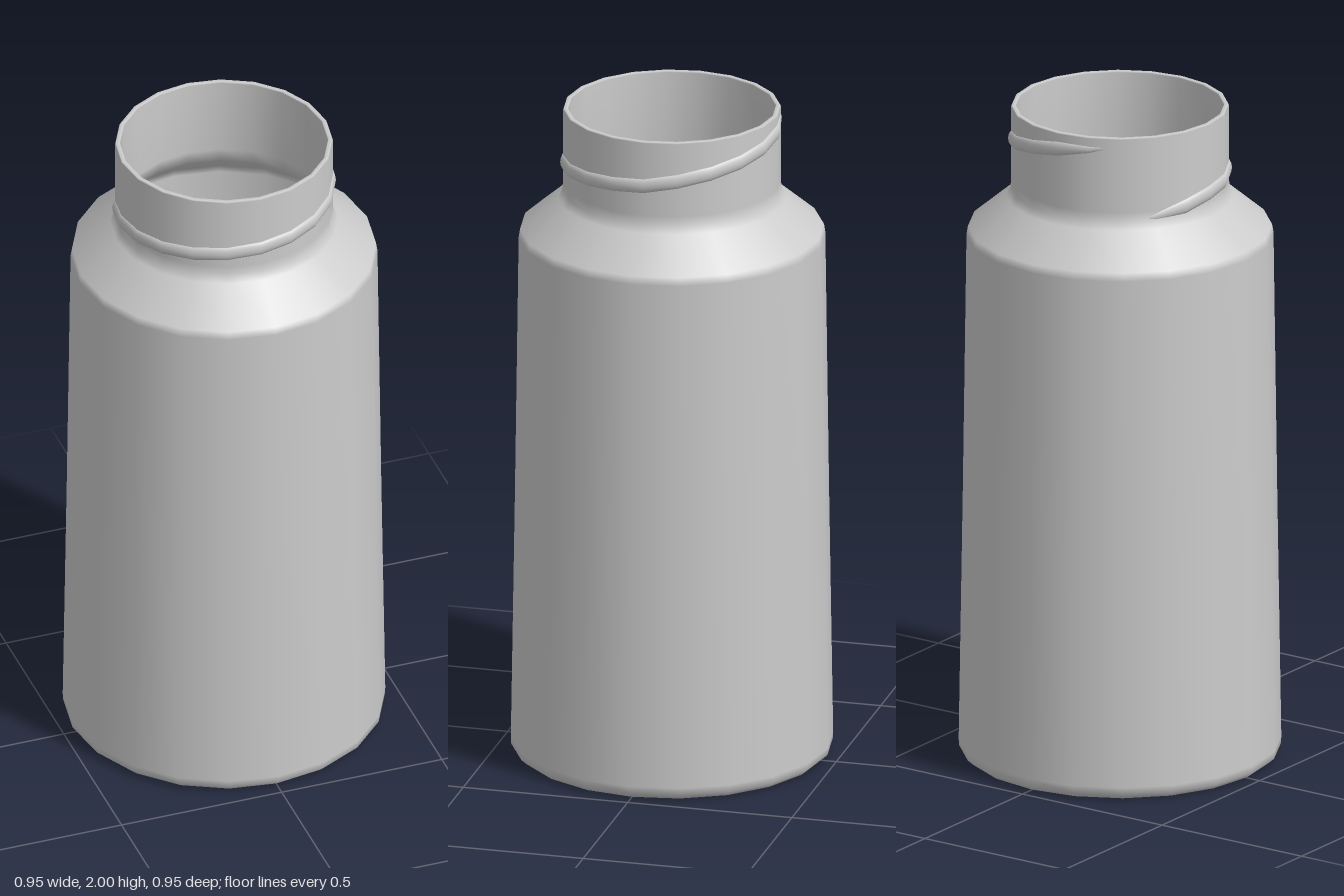
import * as THREE from 'three';
import { ParametricGeometry } from 'three/addons/geometries/ParametricGeometry.js';
import { mergeGeometries } from 'three/addons/utils/BufferGeometryUtils.js';

const SIDES = 20;
const material = new THREE.MeshStandardMaterial({ color: 0xcccccc });

// Thin-walled bottle: outside from base centre up to the rim, then back down inside
function bottle() {
  const profile = [
    [0, 0.03], [0.2, 0.025], [0.38, 0.006], [0.43, 0], [0.455, 0.002], [0.473, 0.018], [0.474, 0.04],
    [0.462, 0.8], [0.451, 1.6], [0.447, 1.625], [0.335, 1.72], [0.322, 1.745], [0.32, 1.77],
    [0.32, 1.996], [0.318, 2], [0.307, 2], [0.305, 1.996],
    [0.305, 1.76], [0.318, 1.71], [0.43, 1.615], [0.436, 1.59], [0.447, 0.8], [0.458, 0.05], [0.44, 0.025],
    [0.38, 0.02], [0.2, 0.037], [0, 0.042],
  ].map(([x, y]) => new THREE.Vector2(x, y));
  return new THREE.LatheGeometry(profile, SIDES);
}

// Screw thread: one rising turn, rounded in section, fading into the neck at both ends
function thread() {
  const keys = [[216, 1.735], [270, 1.787], [360, 1.825], [450, 1.862], [540, 1.95], [576, 1.972]];
  const heightAt = (deg) => {
    let i = 0;
    while (i < keys.length - 2 && deg > keys[i + 1][0]) i++;
    const [a, ya] = keys[i], [b, yb] = keys[i + 1];
    return THREE.MathUtils.mapLinear(deg, a, b, ya, yb);
  };
  return new ParametricGeometry((u, v, target) => {
    const deg = 216 + 360 * u;
    const fade = Math.min(1, u * 10, (1 - u) * 10);
    const around = Math.PI * (v - 0.5);
    const r = 0.317 + fade * 0.012 * Math.cos(around);
    const y = heightAt(deg) + fade * 0.023 * Math.sin(around);
    const phi = THREE.MathUtils.degToRad(deg);
    target.set(r * Math.sin(phi), y, r * Math.cos(phi));
  }, SIDES, 6);
}

// Round tablet with a score line across both faces
const R = 0.08, THICK = 0.045, SCORE = 0.013;
function tabletGeometry() {
  const half = Math.acos(SCORE / R);
  const segment = new THREE.Shape().absarc(0, 0, R, -half, half, false);
  const parts = [0, Math.PI].map((turn) =>
    new THREE.ExtrudeGeometry(segment, { depth: THICK, bevelEnabled: false, curveSegments: 12 })
      .translate(0, 0, -THICK / 2).rotateX(-Math.PI / 2).rotateY(turn).toNonIndexed?.() ?? null);
  const core = new THREE.BoxGeometry(2 * SCORE, THICK * 0.7, 2 * R * Math.sin(half)).toNonIndexed();
  return mergeGeometries([...parts, core]);
}

function tablets() {
  const group = new THREE.Group();
  group.name = 'tablets';
  const geometry = tabletGeometry();
  let seed = 7;
  const random = () => (seed = (seed * 16807) % 2147483647) / 2147483647;

  // Lower layers spread evenly over the floor: x, z, turn of the score line
  const places = [];
  for (let layer = 0; layer < 3; layer++) {
    for (let i = 0; i < 22; i++) {
      const r = 0.365 * Math.sqrt((i + 0.5) / 22), a = i * 2.4 + layer * 1.1;
      places.push([r * Math.cos(a), r * Math.sin(a), random() * Math.PI]);
    }
  }
  // Top of the heap
  places.push(
    [0.08, 0.31, -1.2], [-0.13, -0.23, 0], [0.24, 0.1, -0.3], [-0.05, 0.22, -0.5], [-0.25, 0.08, -0.1],
    [0.08, 0.16, -0.6], [0.12, -0.27, -0.7], [0.275, -0.13, -0.1], [-0.225, -0.09, -0.6], [-0.03, -0.07, 0.1],
    [0.16, 0.02, -0.5], [0.28, 0.03, -0.1], [0.12, -0.14, 0], [-0.03, -0.21, -0.6], [-0.155, 0, -0.7],
    [-0.14, 0.17, -0.2], [0.015, 0.13, -0.15], [-0.02, -0.02, 0.2],
  );

  // Each tablet rests on whatever already lies beneath it
  const placed = [];
  for (const [x, z, turn] of places) {
    let y = 0.07;
    for (const p of placed) {
      const d = Math.hypot(p.x - x, p.z - z);
      if (d < 1.7 * R) y = Math.max(y, p.y + THICK * (d < R ? 1 : 0.75));
    }
    placed.push({ x, y, z });
    const tablet = new THREE.Mesh(geometry, material);
    tablet.name = 'tablet';
    tablet.position.set(x, y, z);
    tablet.rotation.set((random() - 0.5) * 0.3, turn, (random() - 0.5) * 0.3);
    group.add(tablet);
  }
  return group;
}

export function createModel() {
  const model = new THREE.Group();
  model.name = 'tabletBottle';
  const add = (name, geometry) => {
    const mesh = new THREE.Mesh(geometry, material);
    mesh.name = name;
    model.add(mesh);
  };
  add('bottle', bottle());
  add('neckThread', thread());
  model.add(tablets());
  return model;
}
